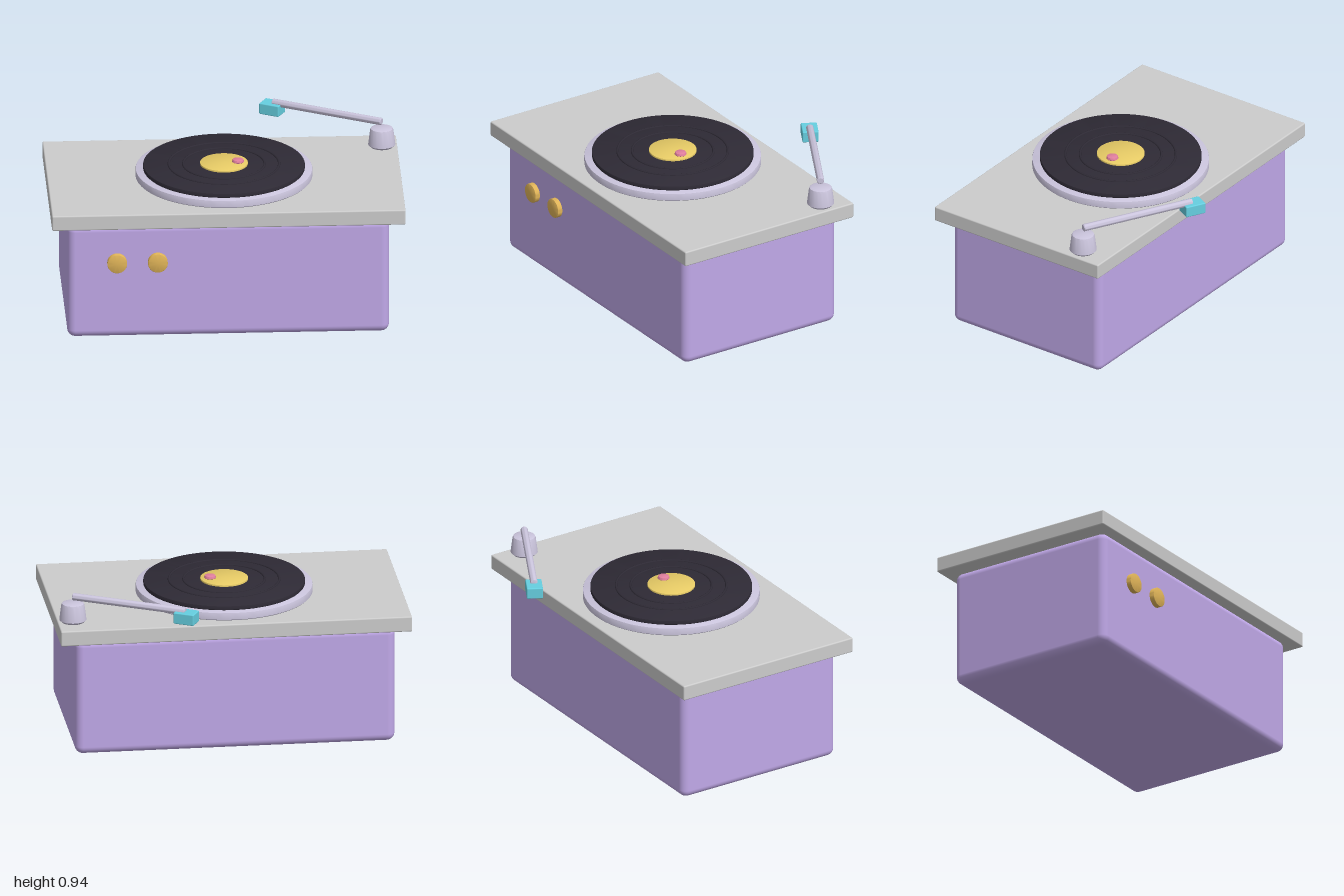
import * as THREE from 'three';
import { RoundedBoxGeometry } from 'three/addons/geometries/RoundedBoxGeometry.js';
import { toCreasedNormals } from 'three/addons/utils/BufferGeometryUtils.js';

const mat = (color) => new THREE.MeshStandardMaterial({ color });
const MATERIALS = {
  grey: mat(0xcccccc), purple: mat(0xc0a8e8), lilac: mat(0xcac4dc), black: mat(0x2e2a35),
  yellow: mat(0xe8cc66), gold: mat(0xe0b458), pink: mat(0xe07f9e), teal: mat(0x66cfe0),
};

export function createModel() {
  const model = new THREE.Group();
  model.name = 'recordPlayer';
  const deckZ = 0.115, discZ = 0.11;

  function add(name, geometry, material, x, y, z) {
    const mesh = new THREE.Mesh(geometry, MATERIALS[material]);
    mesh.name = name;
    mesh.position.set(x, y, z);
    model.add(mesh);
    return mesh;
  }

  // Round part standing on y = 0, tapered, with a small bevel on both rims
  function disc(rBottom, rTop, height, bevel, segments = 64) {
    const profile = [
      [0, 0], [rBottom - bevel, 0], [rBottom, bevel],
      [rTop, height - bevel], [rTop - bevel * 0.3, height - bevel * 0.3],
      [rTop - bevel, height], [0, height],
    ].map(([r, y]) => new THREE.Vector2(r, y));
    return toCreasedNormals(new THREE.LatheGeometry(profile, segments), 0.6);
  }

  // Cabinet and top plate
  add('cabinet', new RoundedBoxGeometry(1.82, 0.685, 1.03, 5, 0.045), 'purple', 0, 0.3455, deckZ);
  add('topPlate', new RoundedBoxGeometry(2, 0.09, 1.14, 3, 0.008), 'grey', 0, 0.724, deckZ);

  // Platter, record and its raised rings
  add('platter', disc(0.5, 0.5, 0.047, 0.006, 96), 'lilac', 0, 0.768, discZ);
  add('record', disc(0.457, 0.457, 0.025, 0.003, 96), 'black', 0, 0.815, discZ);
  for (const radius of [0.23, 0.312]) {
    const ring = add('recordRing', new THREE.TorusGeometry(radius, 0.007, 8, 80), 'black', 0, 0.84, discZ);
    ring.rotation.x = Math.PI / 2;
  }
  add('recordLabel', disc(0.135, 0.135, 0.012, 0.001), 'yellow', 0, 0.838, discZ);
  add('labelButton', disc(0.034, 0.032, 0.02, 0.006, 32), 'pink', 0.08, 0.847, discZ);

  // Knobs on the front
  for (const x of [-0.63, -0.4]) {
    const knob = add('knob', disc(0.056, 0.056, 0.04, 0.004, 40), 'gold', x, 0.46, 0.619);
    knob.rotation.x = Math.PI / 2;
  }

  // Tonearm: pivot, rod and headshell
  add('tonearmPivot', disc(0.077, 0.066, 0.114, 0.014, 40), 'lilac', 0.912, 0.768, -0.288);
  const start = new THREE.Vector3(0.912, 0.918, -0.288);
  const end = new THREE.Vector3(0.312, 0.918, -0.612);
  const direction = end.clone().sub(start);
  const rod = add('tonearmRod', disc(0.021, 0.021, direction.length(), 0.004, 24), 'lilac', start.x, start.y, start.z);
  rod.quaternion.setFromUnitVectors(new THREE.Vector3(0, 1, 0), direction.clone().normalize());
  const head = add('headshell', new RoundedBoxGeometry(0.122, 0.066, 0.092, 3, 0.006), 'teal', 0.308, 0.884, -0.614);
  head.rotation.y = Math.atan2(-direction.z, direction.x);

  return model;
}
